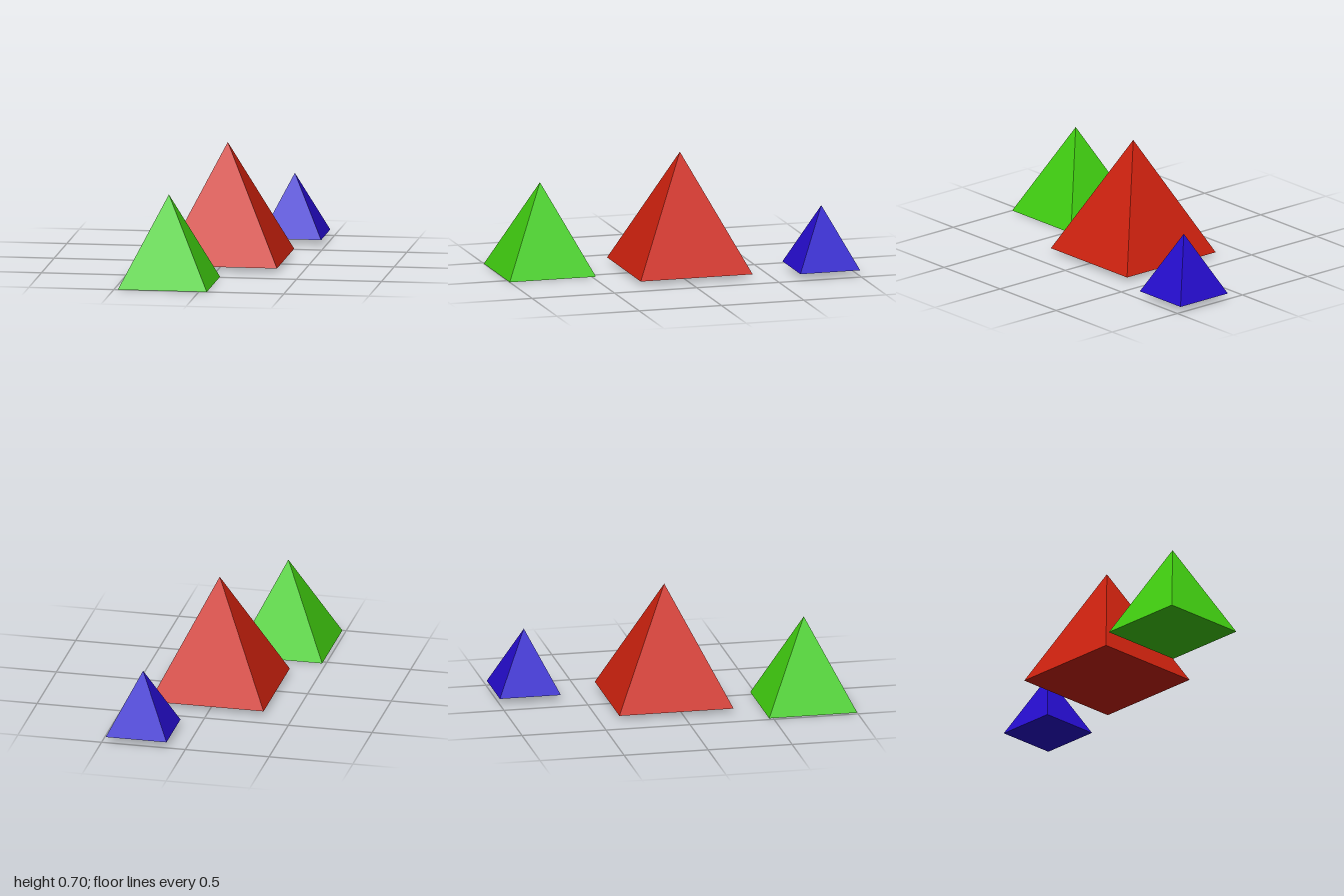
import * as THREE from 'three';

// Square pyramid with its sides parallel to x and z
function pyramid(name, color, width, height, x, y, z) {
  const geometry = new THREE.ConeGeometry(width / Math.SQRT2, height, 4);
  geometry.rotateY(Math.PI / 4);
  geometry.translate(0, height / 2, 0);
  const material = new THREE.MeshStandardMaterial({ color, flatShading: true });
  const mesh = new THREE.Mesh(geometry, material);
  mesh.name = name;
  mesh.position.set(x, y, z);
  return mesh;
}

export function createModel() {
  const group = new THREE.Group();
  group.name = 'pyramids';
  group.add(
    pyramid('greenPyramid', 0x40cc10, 0.524, 0.524, -0.215, 0, 0.738),
    pyramid('redPyramid', 0xcc210e, 0.68, 0.68, 0.015, 0.025, -0.043),
    pyramid('bluePyramid', 0x250ccc, 0.363, 0.361, 0.294, 0.035, -0.8185),
  );
  return group;
}
